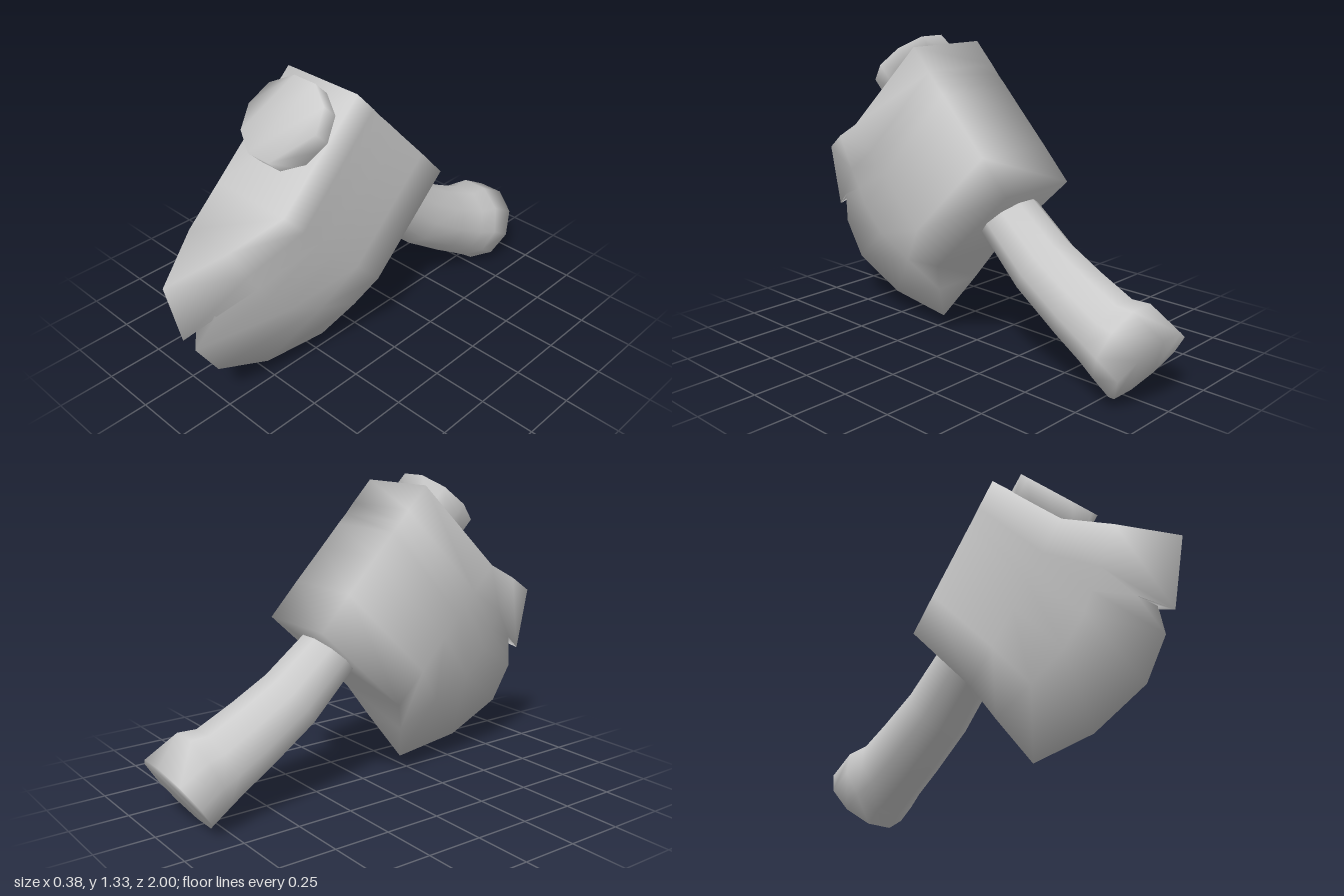
import * as THREE from 'three';
import { mergeVertices } from 'three/addons/utils/BufferGeometryUtils.js';

// Smooth closed skin through equal-sized rings, counter-clockwise about the direction of travel
function loft(rings) {
  const n = rings[0].length;
  const index = [];
  const last = (rings.length - 1) * n;
  for (let i = 0; i < rings.length - 1; i++) {
    for (let j = 0; j < n; j++) {
      const a = i * n + j, b = i * n + (j + 1) % n;
      index.push(a, b, a + n, b, b + n, a + n);
    }
  }
  // End caps as strips joining opposite points
  for (let k = 0; k < n / 2 - 1; k++) {
    const a = k, b = k + 1, c = n - 2 - k, d = n - 1 - k;
    index.push(a, c, b, a, d, c);
    index.push(last + a, last + b, last + c, last + a, last + c, last + d);
  }
  const geo = new THREE.BufferGeometry();
  geo.setAttribute('position', new THREE.Float32BufferAttribute(rings.flat(2), 3));
  geo.setIndex(index);
  const merged = mergeVertices(geo);
  merged.computeVertexNormals();
  return merged;
}

// Ten-sided ring given its low and high points [z, y] and its half width in x
function ring(low, high, rx) {
  const points = [];
  for (let k = 0; k < 10; k++) {
    const a = k * Math.PI / 5, s = (1 + Math.sin(a) / Math.cos(Math.PI / 10)) / 2;
    points.push([
      rx * Math.cos(a),
      low[1] + (high[1] - low[1]) * s,
      low[0] + (high[0] - low[0]) * s,
    ]);
  }
  return points;
}

export function createModel() {
  const model = new THREE.Group();
  const material = new THREE.MeshStandardMaterial({ color: 0xcccccc });
  const add = (name, geometry) => {
    const mesh = new THREE.Mesh(geometry, material);
    mesh.name = name;
    model.add(mesh);
  };

  // Axe head, sections from top to bottom: [z, y] of back, cheek, bevel and edge,
  // then half width at the edge (the third section is the chip in the blade)
  const sections = [
    [[0.18, 1.30], [0.57, 0.93], [0.78, 0.84], [1.00, 0.74], 0],
    [[0.09, 1.205], [0.47, 0.82], [0.70, 0.69], [0.94, 0.46], 0],
    [[0.05, 1.16], [0.42, 0.77], [0.65, 0.61], [0.82, 0.54], 0.06],
    [[0.01, 1.12], [0.38, 0.73], [0.61, 0.53], [0.89, 0.38], 0],
    [[-0.08, 1.025], [0.30, 0.64], [0.50, 0.42], [0.79, 0.22], 0],
    [[-0.21, 0.89], [0.18, 0.51], [0.32, 0.33], [0.53, 0.10], 0],
    [[-0.34, 0.75], [0.05, 0.38], [0.12, 0.24], [0.21, 0.06], 0],
  ];
  add('axeHead', loft(sections.map(([back, cheek, bevel, edge, edgeX]) => {
    const half = [[back, 0.19], [cheek, 0.19], [bevel, 0.115], [edge, edgeX]]
      .map(([[z, y], x]) => [x, y, z]);
    return [...half, ...half.map(([x, y, z]) => [-x, y, z]).reverse()];
  })));

  // Round boss on the top face
  add('topBoss', loft([
    ring([0.42, 0.99], [0.17, 1.23], 0.187),
    ring([0.52, 1.09], [0.27, 1.33], 0.187),
  ]));

  // Curved handle, from the flared end up into the head
  add('handle', loft([
    ring([-0.79, 0.0], [-1.0, 0.30], 0.19),
    ring([-0.73, 0.045], [-0.86, 0.38], 0.19),
    ring([-0.65, 0.095], [-0.78, 0.38], 0.167),
    ring([-0.53, 0.17], [-0.62, 0.46], 0.16),
    ring([-0.31, 0.32], [-0.46, 0.55], 0.15),
    ring([-0.10, 0.53], [-0.28, 0.69], 0.142),
    ring([0.0, 0.64], [-0.18, 0.80], 0.14),
  ]));

  return model;
}
